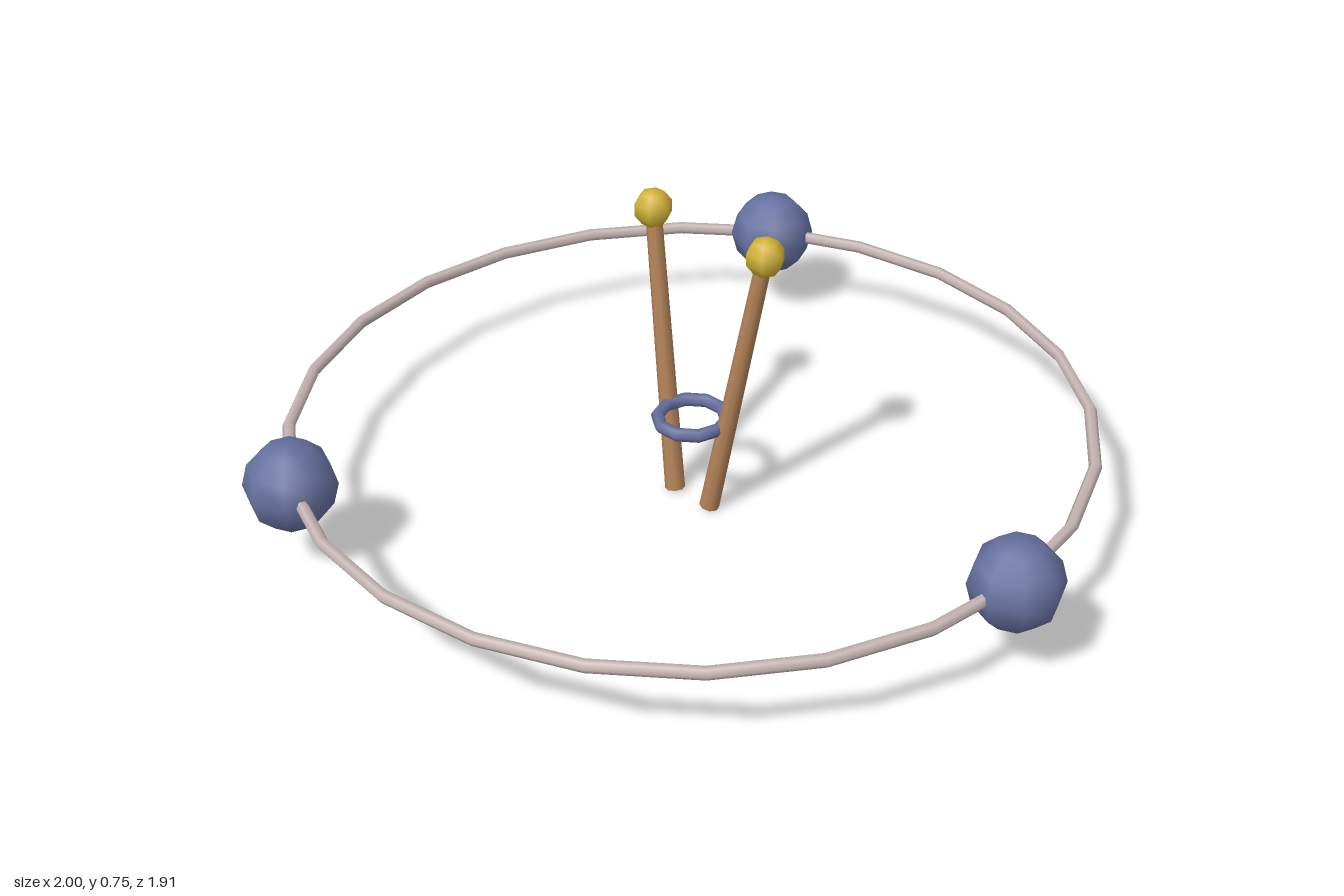
import * as THREE from 'three';

const mat = (name, color) => {
  const m = new THREE.MeshStandardMaterial({ color });
  m.name = name;
  return m;
};

export function createModel() {
  const blue = mat('slate blue', 0x66709f);
  const wood = mat('warm wood', 0xb38258);
  const gold = mat('gold', 0xd2b234);
  const pale = mat('pale rose', 0xc8b6b6);

  const model = new THREE.Group();
  model.name = 'juggling set';
  const add = (name, geometry, material, x, y, z) => {
    const mesh = new THREE.Mesh(geometry, material);
    mesh.name = name;
    mesh.position.set(x, y, z);
    model.add(mesh);
    return mesh;
  };

  const cx = -0.047, ringY = 0.23, ringR = 0.938;

  // Large thin hoop and the small ring at its centre, both lying flat
  add('hoop', new THREE.TorusGeometry(ringR, 0.015, 6, 24).rotateX(-Math.PI / 2), pale, cx, ringY, 0);
  add('smallRing', new THREE.TorusGeometry(0.081, 0.016, 6, 10).rotateX(-Math.PI / 2), blue, cx, ringY, 0);

  // Three balls spaced evenly around the hoop
  const ball = new THREE.SphereGeometry(0.108, 8, 6);
  for (let i = 0; i < 3; i++) {
    const a = (i * Math.PI * 2) / 3;
    add('ball' + (i + 1), ball, blue, cx + ringR * Math.cos(a), ringY, ringR * Math.sin(a));
  }

  // Two splayed, tapering sticks with knobs on top
  const up = new THREE.Vector3(0, 1, 0);
  const knob = new THREE.SphereGeometry(0.047, 6, 5);
  for (const [side, s] of [['left', 1], ['right', -1]]) {
    const foot = new THREE.Vector3(cx + s * 0.056, 0.006, 0);
    const tip = new THREE.Vector3(cx + s * 0.172, 0.70, -0.056);
    const axis = tip.clone().sub(foot);
    const mid = foot.clone().add(tip).multiplyScalar(0.5);
    const stick = add(side + 'Stick', new THREE.CylinderGeometry(0.019, 0.024, axis.length(), 8),
      wood, mid.x, mid.y, mid.z);
    stick.quaternion.setFromUnitVectors(up, axis.normalize());
    add(side + 'Knob', knob, gold, tip.x, tip.y, tip.z);
  }
  return model;
}
